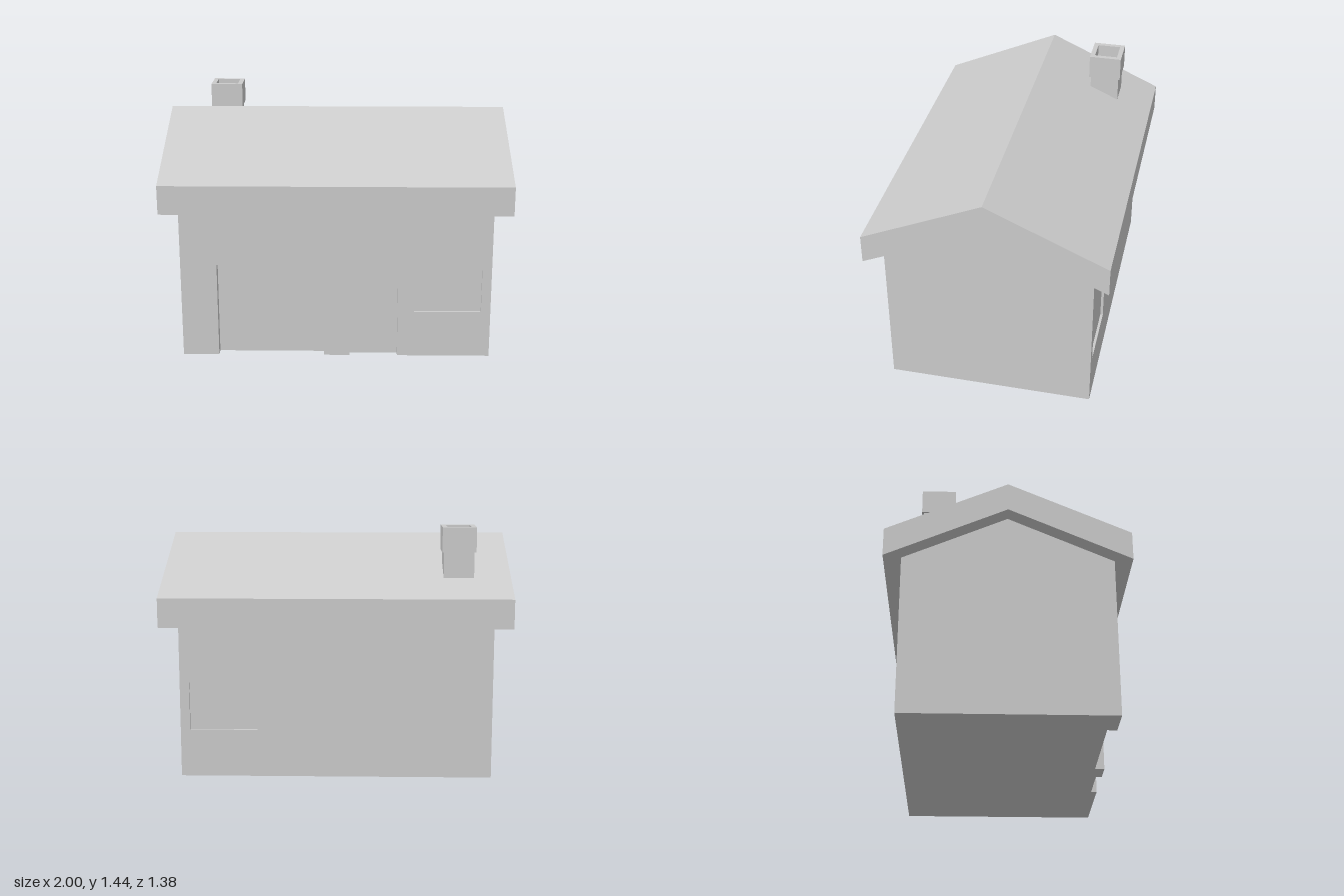
import * as THREE from 'three';

const material = new THREE.MeshStandardMaterial({ color: 0xcccccc, flatShading: true });

function add(parent, name, geometry) {
  const mesh = new THREE.Mesh(geometry, material);
  mesh.name = name;
  parent.add(mesh);
  return mesh;
}

const toPoints = (list) => list.map(([x, y]) => new THREE.Vector2(x, y));
const rect = (x0, x1, y0, y1) => [[x0, y0], [x1, y0], [x1, y1], [x0, y1]];

// Extrude an outline (with holes) from near to far along z
function slab(outline, holes, near, far) {
  const shape = new THREE.Shape(toPoints(outline));
  holes.forEach((h) => shape.holes.push(new THREE.Path(toPoints(h).reverse())));
  return new THREE.ExtrudeGeometry(shape, { depth: far - near, bevelEnabled: false })
    .translate(0, 0, near);
}

// Extrude a (z, y) profile along x, centred on x = 0
function gableExtrude(profile, length) {
  return slab(profile.map(([z, y]) => [-z, y]).reverse(), [], -length / 2, length / 2)
    .rotateY(Math.PI / 2);
}

function box(x0, x1, y0, y1, z0, z1) {
  return new THREE.BoxGeometry(x1 - x0, y1 - y0, z1 - z0)
    .translate((x0 + x1) / 2, (y0 + y1) / 2, (z0 + z1) / 2);
}

export function createModel() {
  const house = new THREE.Group();
  house.name = 'house';

  const half = 0.9, front = 0.6, back = -0.595;
  const coreFront = 0.545, coreBack = -0.58;
  const ridge = 1.2, slope = 0.445;
  const under = (z) => ridge - Math.abs(z) * slope;
  const garage = { x0: -0.69, x1: -0.07, top: 0.56 };
  const door = { x0: 0.08, x1: 0.36, top: 0.435 };
  const win = [0.455, 0.845, 0.277, 0.555];

  // Gabled body, running up to the underside of the roof
  add(house, 'body', gableExtrude([
    [coreFront, 0], [coreFront, under(coreFront)], [0, ridge],
    [coreBack, under(coreBack)], [coreBack, 0],
  ], 2 * half));

  // Front wall with door notches and a window opening
  const notch = ({ x0, x1, top }) => [[x0, 0], [x0, top], [x1, top], [x1, 0]];
  add(house, 'frontWall', slab([
    [-half, 0], ...notch(garage), ...notch(door),
    [half, 0], [half, 0.957], [-half, 0.957],
  ], [rect(...win)], coreFront, front));

  // Back wall with the matching window opening
  add(house, 'backWall', slab(rect(-half, half, 0, 0.942), [rect(...win)], back, coreBack));

  // Recessed panels
  add(house, 'frontDoor', box(door.x0, door.x1, 0, door.top, coreFront, 0.565));
  add(house, 'frontWindow', box(...win, coreFront, 0.585));

  // Roof: a thick chevron with vertical eaves
  const eave = 0.69;
  add(house, 'roof', gableExtrude([
    [eave, 0.893], [eave, 1.06], [0, 1.367],
    [-eave, 1.06], [-eave, 0.893], [0, ridge],
  ], 2));

  // Chimney: square stack under a hollow cap
  const chimney = new THREE.Group();
  chimney.name = 'chimney';
  chimney.position.set(-0.702, 0, -0.395);
  house.add(chimney);
  add(chimney, 'chimneyStack', box(-0.087, 0.087, 1.1, 1.3, -0.087, 0.087));
  const cap = slab(rect(-0.097, 0.097, -0.097, 0.097),
    [rect(-0.069, 0.069, -0.069, 0.069)], 1.3, 1.443);
  add(chimney, 'chimneyCap', cap.rotateX(-Math.PI / 2));

  return house;
}
